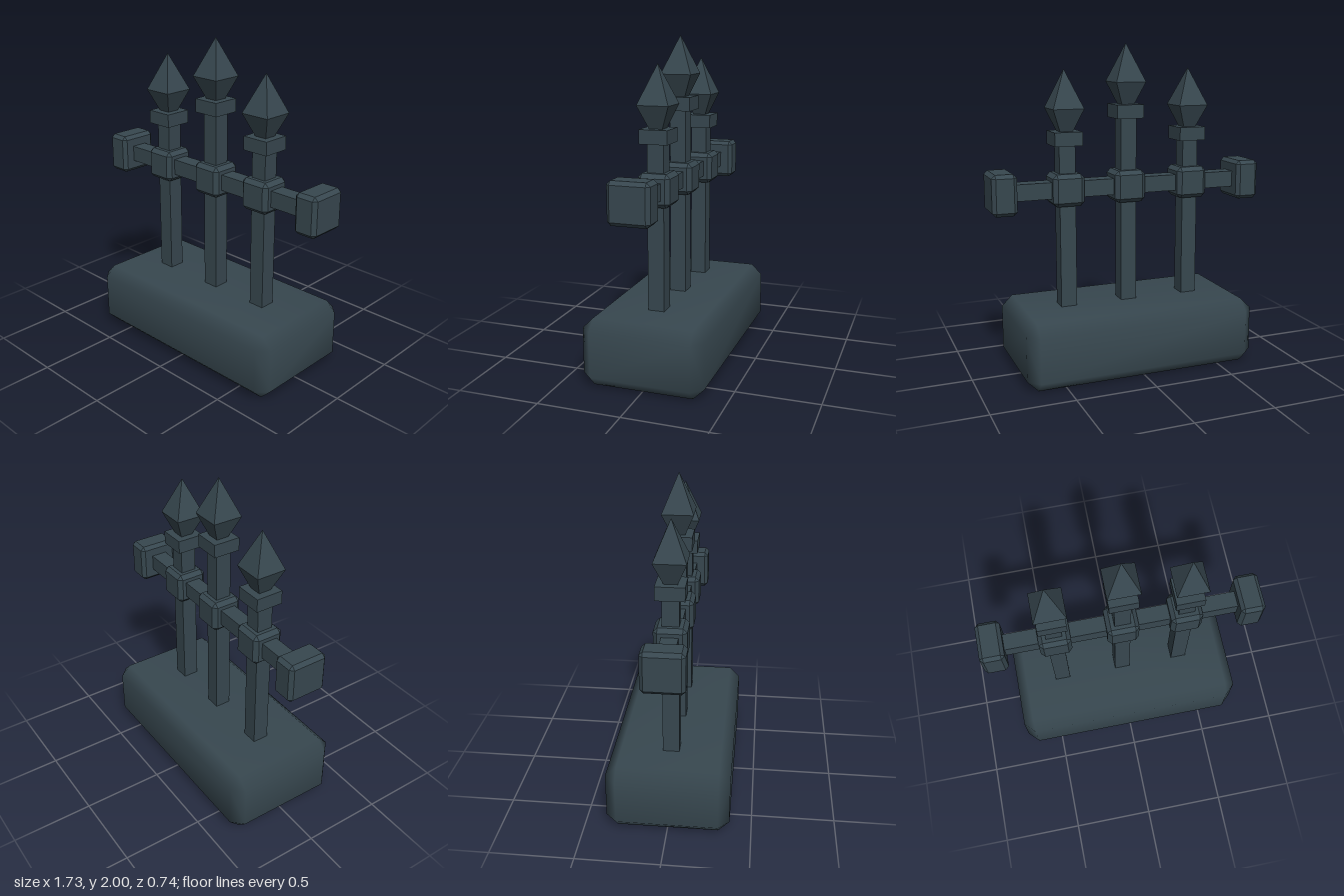
import * as THREE from 'three';
import { mergeVertices } from 'three/addons/utils/BufferGeometryUtils.js';
import { ConvexGeometry } from 'three/addons/geometries/ConvexGeometry.js';

const iron = new THREE.MeshStandardMaterial({ color: 0x37474f });
iron.name = 'dark iron';

// Box with all edges cut off by one bevel
function bevelBox(w, h, d, bevel, smooth = false) {
  const half = [w / 2, h / 2, d / 2];
  const points = [];
  for (const sx of [-1, 1]) for (const sy of [-1, 1]) for (const sz of [-1, 1]) {
    for (let axis = 0; axis < 3; axis++) {
      const p = half.map((v, i) => (i === axis ? v : v - bevel));
      points.push(new THREE.Vector3(sx * p[0], sy * p[1], sz * p[2]));
    }
  }
  let geometry = new ConvexGeometry(points);
  if (smooth) {
    geometry.deleteAttribute('normal');
    geometry = mergeVertices(geometry, 1e-4);
    geometry.computeVertexNormals();
  }
  return geometry;
}

// Four-sided tapering piece with flat faces, given half widths
function squareTaper(top, bottom, height) {
  const geometry = new THREE.CylinderGeometry(top * Math.SQRT2, bottom * Math.SQRT2, height, 4, 1, false, Math.PI / 4).toNonIndexed();
  geometry.computeVertexNormals();
  return geometry;
}

function add(parent, name, geometry, x, y, z = 0) {
  const mesh = new THREE.Mesh(geometry, iron);
  mesh.name = name;
  mesh.position.set(x, y, z);
  parent.add(mesh);
}

// Upright post with its joint, collar and spear point
function makePost(x, collarBottom) {
  const post = new THREE.Group();
  post.name = 'post';
  post.position.x = x;
  const foot = 0.38;
  const tipBase = collarBottom + 0.083;
  add(post, 'shaft', new THREE.BoxGeometry(0.1, collarBottom - foot, 0.1), 0, (collarBottom + foot) / 2);
  add(post, 'joint', bevelBox(0.196, 0.196, 0.196, 0.025), 0, 1.137);
  add(post, 'collar', new THREE.BoxGeometry(0.172, 0.083, 0.172), 0, collarBottom + 0.0415);
  add(post, 'spearLower', squareTaper(0.095, 0.04, 0.135), 0, tipBase + 0.0675);
  add(post, 'spearUpper', squareTaper(0, 0.095, 0.23), 0, tipBase + 0.25);
  return post;
}

export function createModel() {
  const model = new THREE.Group();
  model.name = 'fence';

  add(model, 'base', bevelBox(1.466, 0.41, 0.74, 0.067, true), 0.003, 0.205);

  // Posts, the middle one taller
  model.add(makePost(-0.413, 1.402), makePost(0.002, 1.552), makePost(0.394, 1.402));

  // Cross rail and its end blocks
  add(model, 'rail', new THREE.BoxGeometry(1.46, 0.1, 0.1), 0, 1.137);
  for (const side of [-1, 1]) {
    add(model, 'endBlock', bevelBox(0.15, 0.246, 0.25, 0.022), side * 0.791, 1.137);
  }
  return model;
}
